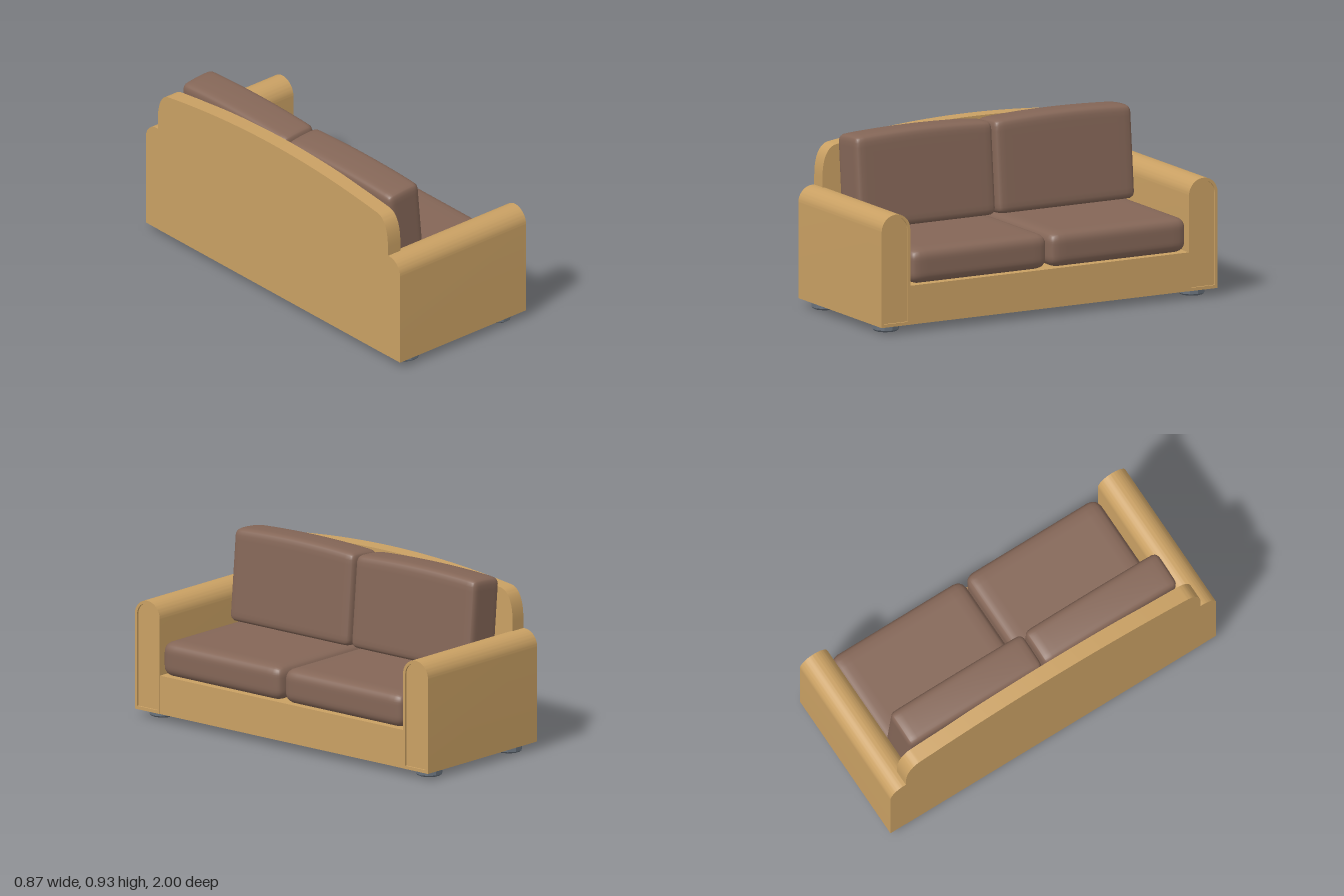
import * as THREE from 'three';
import { mergeVertices, toCreasedNormals } from 'three/addons/utils/BufferGeometryUtils.js';

const wood = new THREE.MeshStandardMaterial({ color: 0xc9a063 });
const fabric = new THREE.MeshStandardMaterial({ color: 0x846657 });
const metal = new THREE.MeshStandardMaterial({ color: 0x69727c, flatShading: true });

// Extrude a (z, y) outline along x, from x0 to x1
function extrudeX(shape, x0, x1) {
  const geo = new THREE.ExtrudeGeometry(shape, { depth: x1 - x0, bevelEnabled: false, curveSegments: 20 });
  geo.rotateY(Math.PI / 2).translate(x0, 0, 0);
  return toCreasedNormals(geo, 0.6);
}

// Upright outline with a half-round top
function archOutline(Type, half, bottom, top) {
  const s = new Type();
  s.moveTo(-half, bottom);
  s.lineTo(half, bottom);
  s.lineTo(half, top - half);
  s.absarc(0, top - half, half, 0, Math.PI, false);
  s.lineTo(-half, bottom);
  return s;
}

// Soft box: grid crowded to the edges, rounded by radius r, top crowned along z
function cushionGeometry(w, h, d, r, crown) {
  let geo = new THREE.BoxGeometry(2, 2, 2, 18, 18, 18);
  geo.deleteAttribute('uv');
  geo.deleteAttribute('normal');
  geo = mergeVertices(geo);
  const half = new THREE.Vector3(w / 2, h / 2, d / 2);
  const core = half.clone().subScalar(r);
  const pos = geo.attributes.position;
  const p = new THREE.Vector3(), inner = new THREE.Vector3();
  for (let i = 0; i < pos.count; i++) {
    p.fromBufferAttribute(pos, i);
    p.set(...p.toArray().map((t) => Math.sin(t * Math.PI / 2))).multiply(half);
    inner.copy(p).clamp(core.clone().negate(), core);
    p.sub(inner).setLength(r).add(inner);
    const u = p.z / half.z, v = p.x / half.x;
    if (p.y > 0) p.y += (p.y / half.y) * crown * ((1 - u * u) + 0.5 * (1 - v * v));
    pos.setXYZ(i, p.x, p.y, p.z);
  }
  geo.computeVertexNormals();
  return geo;
}

export function createModel() {
  const group = new THREE.Group();
  const add = (name, geo, mat, x = 0, y = 0, z = 0) => {
    const mesh = new THREE.Mesh(geo, mat);
    mesh.name = name;
    mesh.position.set(x, y, z);
    group.add(mesh);
    return mesh;
  };

  // Base box between the arms
  add('base', new THREE.BoxGeometry(0.858, 0.205, 1.664), wood, -0.004, 0.1425, 0);

  // Backrest panel with rounded shoulders and a bowed top
  const back = new THREE.Shape();
  back.moveTo(-0.905, 0.04);
  back.lineTo(0.905, 0.04);
  back.lineTo(0.905, 0.68);
  back.bezierCurveTo(0.905, 0.78, 0.875, 0.845, 0.815, 0.85);
  back.quadraticCurveTo(0.4, 0.91, 0, 0.91);
  back.quadraticCurveTo(-0.4, 0.91, -0.815, 0.85);
  back.bezierCurveTo(-0.875, 0.845, -0.905, 0.78, -0.905, 0.68);
  back.lineTo(-0.905, 0.04);
  add('backPanel', extrudeX(back, -0.435, -0.35), wood);

  // Arm body, and a thin front rim framing a recessed panel
  const armGeo = extrudeX(archOutline(THREE.Shape, 0.085, 0.04, 0.63), -0.434, 0.417);
  const rim = archOutline(THREE.Shape, 0.085, 0.04, 0.63);
  rim.holes.push(archOutline(THREE.Path, 0.07, 0.057, 0.615));
  const rimGeo = extrudeX(rim, 0.417, 0.427);

  const seatGeo = cushionGeometry(0.77, 0.185, 0.815, 0.055, 0);
  const backGeo = cushionGeometry(0.212, 0.485, 0.815, 0.035, 0.014);

  // Ten-sided foot with bevelled edges
  const footGeo = new THREE.LatheGeometry(
    [[0, 0], [0.06, 0], [0.07, 0.009], [0.07, 0.034], [0.064, 0.042], [0, 0.042]].map(([x, y]) => new THREE.Vector2(x, y)), 10);
  footGeo.rotateY(Math.PI / 2);

  for (const [side, s] of [['left', 1], ['right', -1]]) {
    add(side + 'Arm', armGeo, wood, 0, 0, s * 0.915);
    add(side + 'ArmRim', rimGeo, wood, 0, 0, s * 0.915);
    add(side + 'SeatCushion', seatGeo, fabric, 0.047, 0.338, s * 0.414);
    add(side + 'BackCushion', backGeo, fabric, -0.227, 0.667, s * 0.414).rotation.z = 0.09;
    for (const x of [-0.315, 0.313]) {
      add(side + (x > 0 ? 'FrontFoot' : 'RearFoot'), footGeo, metal, x, 0, s * 0.91);
    }
  }
  return group;
}
